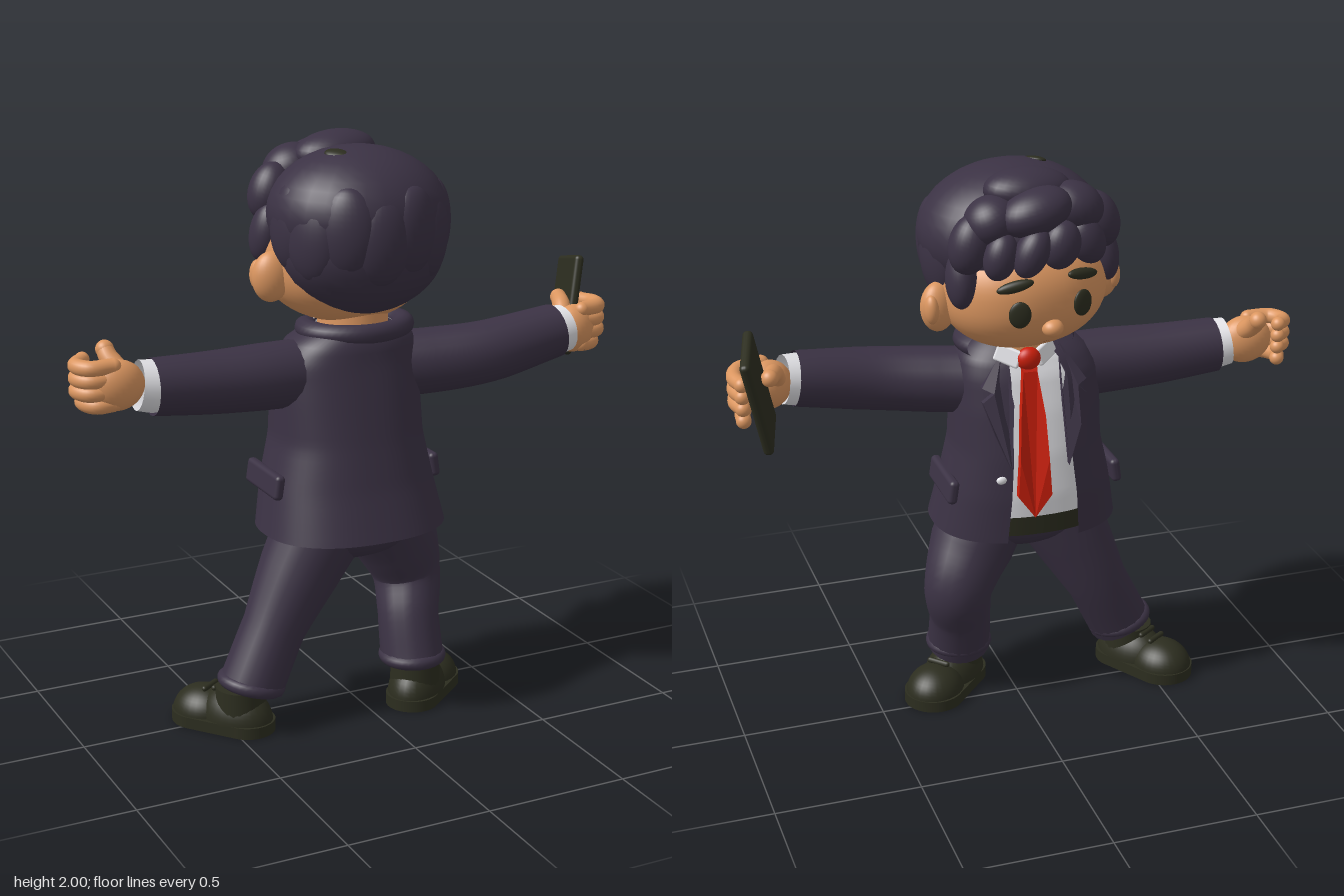
import * as THREE from 'three';
import { RoundedBoxGeometry } from 'three/addons/geometries/RoundedBoxGeometry.js';

const V = (a) => new THREE.Vector3(...a);
const mat = (name, color, side = THREE.FrontSide) => {
  const m = new THREE.MeshStandardMaterial({ color, side });
  m.name = name;
  return m;
};

export function createModel() {
  const suit = mat('suit and hair', 0x3b3244, THREE.DoubleSide);
  const dark = mat('dark leather', 0x2c2d1f);
  const skin = mat('skin', 0xdb9660);
  const white = mat('shirt white', 0xe4e4e8, THREE.DoubleSide);
  const red = mat('tie red', 0xcc1f0b, THREE.DoubleSide);
  const brown = mat('mouth brown', 0x95603f);

  const root = new THREE.Group();
  root.name = 'figure';
  const add = (name, geo, m, pos = [0, 0, 0], rot = [0, 0, 0], parent = root) => {
    const mesh = new THREE.Mesh(geo, m);
    mesh.name = name;
    mesh.position.set(...pos);
    mesh.rotation.set(...rot);
    parent.add(mesh);
    return mesh;
  };
  const blob = (name, m, pos, size, rot, parent) =>
    add(name, new THREE.SphereGeometry(1, 28, 20).scale(...size), m, pos, rot, parent);

  // Tapered tube along a smooth path
  const limb = (name, m, pts, radii, parent) => {
    const curve = new THREE.CatmullRomCurve3(pts.map(V));
    const n = 24, sides = 20;
    const geo = new THREE.TubeGeometry(curve, n, 1, sides);
    const p = geo.attributes.position, v = new THREE.Vector3();
    for (let i = 0; i < p.count; i++) {
      const t = Math.floor(i / (sides + 1)) / n, f = t * (radii.length - 1);
      const k = Math.min(Math.floor(f), radii.length - 2);
      const c = curve.getPointAt(t);
      v.fromBufferAttribute(p, i).sub(c)
        .multiplyScalar(THREE.MathUtils.lerp(radii[k], radii[k + 1], f - k)).add(c);
      p.setXYZ(i, v.x, v.y, v.z);
    }
    return add(name, geo, m, undefined, undefined, parent);
  };

  // Torso sections: y, centre x, centre z, radius x, radius z
  const levels = [
    [0.69, -0.04, 0.08, 0.325, 0.265], [0.85, -0.04, 0.05, 0.295, 0.245], [1.0, -0.035, 0.035, 0.262, 0.225],
    [1.15, -0.035, 0.03, 0.258, 0.2], [1.27, -0.035, 0.03, 0.25, 0.175], [1.34, -0.02, 0.04, 0.215, 0.155],
    [1.38, -0.01, 0.05, 0.15, 0.12]];
  const section = (y) => {
    let k = 0;
    while (k < levels.length - 2 && y > levels[k + 1][0]) k++;
    const t = THREE.MathUtils.clamp((y - levels[k][0]) / (levels[k + 1][0] - levels[k][0]), 0, 1);
    return levels[k].map((a, i) => a + (levels[k + 1][i] - a) * t);
  };
  const power = (s) => Math.sign(s) * Math.abs(s) ** 0.85;
  const frontZ = (x, y) => {
    const [, cx, cz, rx, rz] = section(y);
    return cz - rz * Math.max(0, 1 - Math.abs((x - cx) / rx) ** 2.35) ** (1 / 2.35);
  };
  const shell = (name, m, y0, y1, gap, inset) => {
    const pos = [], idx = [], rows = 28, cols = 56;
    for (let r = 0; r <= rows; r++) {
      const y = y0 + (y1 - y0) * r / rows, [, cx, cz, rx, rz] = section(y);
      for (let c = 0; c <= cols; c++) {
        const a = gap + (2 * Math.PI - 2 * gap) * c / cols;
        pos.push(cx + (rx - inset) * power(Math.sin(a)), y, cz - (rz - inset) * power(Math.cos(a)));
        if (r < rows && c < cols) {
          const i = r * (cols + 1) + c, j = i + cols + 1;
          idx.push(i, j, i + 1, j, j + 1, i + 1);
        }
      }
    }
    const g = new THREE.BufferGeometry();
    g.setAttribute('position', new THREE.Float32BufferAttribute(pos, 3));
    g.setIndex(idx);
    g.computeVertexNormals();
    return add(name, g, m);
  };
  // Flat outline laid over the chest
  const chestPlate = (name, m, pts, lift, depth) => {
    const g = new THREE.ExtrudeGeometry(new THREE.Shape(pts.map((q) => new THREE.Vector2(...q))),
      { depth, bevelEnabled: false });
    const p = g.attributes.position;
    for (let i = 0; i < p.count; i++) p.setZ(i, p.getZ(i) + frontZ(p.getX(i), p.getY(i)) - lift);
    g.computeVertexNormals();
    return add(name, g, m);
  };

  // Jacket, shirt, belt and tie
  shell('jacket', suit, 0.69, 1.38, 0.34, 0);
  shell('shirt', white, 0.76, 1.38, 0, 0.02);
  shell('belt', dark, 0.71, 0.78, 0, 0.014).material.side = THREE.DoubleSide;
  const half = [[0.03, 1.35], [0.024, 1.3], [0.042, 1.15], [0.05, 1.0], [0.058, 0.87]];
  chestPlate('tie', red, [...half, [0, 0.79], ...half.map(([x, y]) => [-x, y]).reverse()], 0.015, 0.025);
  blob('tieKnot', red, [0, 1.34, -0.125], [0.042, 0.04, 0.03]);
  for (const s of [1, -1]) {
    chestPlate('lapel', suit, [[0.1, 1.37], [0.18, 1.25], [0.145, 1.235], [0.18, 1.2], [0.15, 1.1], [0.1, 0.97], [0.085, 1.2]]
      .map(([x, y]) => [s * x - 0.02, y]), 0.022, 0.02);
    add('shirtCollar', new RoundedBoxGeometry(0.09, 0.06, 0.02, 2, 0.008), white,
      [s * 0.065, 1.35, -0.105], [0.3, s * -0.5, s * 0.45]);
    add('pocketFlap', new RoundedBoxGeometry(0.035, 0.085, 0.25, 3, 0.015), suit,
      [-0.04 + s * 0.293, 0.865, 0.03], [0, 0, s * 0.15]);
  }
  blob('jacketButton', white, [0.11, 0.93, frontZ(0.11, 0.93) - 0.005], [0.018, 0.014, 0.01]);
  const collar = new THREE.TorusGeometry(0.155, 0.035, 12, 32, Math.PI * 1.3);
  collar.rotateZ(-Math.PI * 0.15).rotateX(Math.PI / 2).scale(1.1, 1, 0.9);
  add('jacketCollar', collar, suit, [0, 1.365, 0.035]);
  add('neck', new THREE.CylinderGeometry(0.115, 0.125, 0.16, 28), skin, [0, 1.38, 0.02]);

  // Trousers
  blob('hips', suit, [-0.04, 0.7, 0.09], [0.27, 0.13, 0.18]);
  limb('bentLeg', suit, [[0.07, 0.72, 0.09], [0.15, 0.58, 0.06], [0.205, 0.44, 0.035], [0.185, 0.3, 0.09], [0.178, 0.16, 0.135]],
    [0.15, 0.15, 0.122, 0.108, 0.112]);
  limb('straightLeg', suit, [[-0.14, 0.73, 0.1], [-0.24, 0.54, 0.09], [-0.33, 0.36, 0.09], [-0.43, 0.16, 0.11]],
    [0.16, 0.14, 0.11, 0.112]);
  for (const [x, z, tilt] of [[0.178, 0.135, 0], [-0.43, 0.11, -0.25]])
    add('trouserHem', new THREE.TorusGeometry(0.095, 0.024, 12, 32).rotateX(Math.PI / 2), suit, [x, 0.17, z], [0, 0, tilt]);

  // Shoes, toes toward local -z
  for (const [x, z, turn] of [[0.235, 0.1, -0.82], [-0.5, 0.03, 0.6]]) {
    const shoe = new THREE.Group();
    shoe.name = 'shoe';
    shoe.position.set(x, 0, z);
    shoe.rotation.y = turn;
    root.add(shoe);
    const dome = (name, pos, size) => add(name,
      new THREE.SphereGeometry(1, 28, 12, 0, Math.PI * 2, 0, Math.PI / 2).scale(...size), dark, pos, undefined, shoe);
    const outline = new THREE.Shape();
    outline.absarc(0, 0.09, 0.105, 0, Math.PI);
    outline.absarc(0, -0.1, 0.092, Math.PI, Math.PI * 2);
    const sole = new THREE.ExtrudeGeometry(outline, { depth: 0.04, bevelEnabled: false, curveSegments: 20 });
    add('sole', sole.rotateX(-Math.PI / 2), dark, undefined, undefined, shoe);
    dome('toeCap', [0, 0.035, -0.08], [0.1, 0.09, 0.112]);
    dome('upper', [0, 0.035, 0.05], [0.097, 0.115, 0.137]);
    add('ankleCuff', new THREE.CylinderGeometry(0.085, 0.09, 0.11, 24), dark, [0, 0.1, 0.07], undefined, shoe);
    for (const k of [0, 1])
      add('lace', new THREE.CapsuleGeometry(0.01, 0.07, 4, 10).rotateZ(Math.PI / 2), dark,
        [0, 0.128 + k * 0.012, -0.055 + k * 0.04], undefined, shoe);
  }

  // Arms, shirt cuffs and hands
  limb('openArm', suit, [[-0.16, 1.225, 0.04], [-0.32, 1.228, 0.045], [-0.52, 1.23, 0.04], [-0.735, 1.24, 0.035]], [0.115, 0.112, 0.104, 0.095]);
  limb('phoneArm', suit, [[0.1, 1.215, 0.04], [0.26, 1.22, 0.08], [0.46, 1.235, 0.115], [0.745, 1.275, 0.105]], [0.115, 0.112, 0.106, 0.094]);
  limb('shirtCuff', white, [[-0.68, 1.238, 0.036], [-0.73, 1.243, 0.034], [-0.78, 1.25, 0.03]], [0.08, 0.088, 0.083]);
  limb('shirtCuff', white, [[0.69, 1.265, 0.11], [0.74, 1.272, 0.105], [0.785, 1.278, 0.1]], [0.08, 0.088, 0.083]);
  blob('palm', skin, [-0.845, 1.255, 0.015], [0.095, 0.085, 0.062], [0, 0, 0]);
  blob('palm', skin, [0.835, 1.27, 0.09], [0.085, 0.085, 0.062], [0, 0.3, 0]);
  const finger = (name, pts, r) => {
    limb(name, skin, pts, [r, r * 1.05, r * 0.9]);
    for (const q of [pts[0], pts[pts.length - 1]]) blob(name + 'Tip', skin, q, [r * 0.95, r * 0.95, r * 0.95]);
  };
  for (let i = 0; i < 4; i++) {
    const y = 1.2 + i * 0.042, e = i === 0 ? 0.02 : 0;
    finger('openFinger', [[-0.86, y, 0.035], [-0.94 + e, y - 0.002, 0.03], [-0.968 + e, y, -0.025], [-0.93, y + 0.005, -0.07]], 0.026);
    finger('grippingFinger', [[0.85, y + 0.015, 0.115], [0.93 - e, y + 0.012, 0.085], [0.957 - e, y + 0.01, 0.02], [0.945, y + 0.008, -0.04]], 0.027);
  }
  finger('openThumb', [[-0.82, 1.29, -0.005], [-0.845, 1.33, -0.05], [-0.85, 1.355, -0.075]], 0.032);
  finger('grippingThumb', [[0.81, 1.3, 0.06], [0.83, 1.34, 0.01], [0.855, 1.35, -0.05]], 0.03);

  // Phone
  const phone = new THREE.Group();
  phone.name = 'phone';
  const up = V([0.08, 0.35, -0.06]).normalize(), out = V([0.06, -0.04, -0.22]).cross(up).normalize();
  phone.quaternion.setFromRotationMatrix(new THREE.Matrix4().makeBasis(up.clone().cross(out), up, out));
  phone.position.set(0.898, 1.312, -0.07);
  root.add(phone);
  add('phoneBody', new RoundedBoxGeometry(0.22, 0.355, 0.034, 4, 0.015), dark, undefined, undefined, phone);
  add('phoneLens', new THREE.CapsuleGeometry(0.011, 0.015, 4, 12).scale(1, 1, 0.4), brown, [0.005, 0.125, 0.016], undefined, phone);

  // Head, turned slightly
  const head = new THREE.Group(), inner = new THREE.Group();
  head.name = 'head';
  inner.name = 'headParts';
  head.position.y = 1.6;
  inner.position.y = -1.6;
  head.rotation.set(0, 0.12, -0.04);
  head.add(inner);
  root.add(head);
  const faceGeo = new THREE.SphereGeometry(1, 48, 32), fp = faceGeo.attributes.position;
  const soft = (s) => Math.sign(s) * Math.abs(s) ** 0.9;
  for (let i = 0; i < fp.count; i++)
    fp.setXYZ(i, soft(fp.getX(i)) * 0.285, soft(fp.getY(i)) * 0.205, soft(fp.getZ(i)) * 0.245);
  faceGeo.computeVertexNormals();
  add('face', faceGeo, skin, [0, 1.58, -0.03], undefined, inner);
  const faceZ = (x, y) => -0.03 - 0.245 *
    Math.max(0, 1 - Math.abs(x / 0.285) ** 2.22 - Math.abs((y - 1.58) / 0.205) ** 2.22) ** 0.45;
  blob('nose', skin, [0, 1.495, -0.265], [0.036, 0.03, 0.035], undefined, inner);
  const smile = new THREE.TorusGeometry(0.045, 0.005, 8, 20, Math.PI * 0.6).rotateZ(Math.PI * 1.2);
  add('mouth', smile, brown, [0, 1.475, faceZ(0, 1.435) - 0.003], [-0.3, 0, 0], inner);
  for (const s of [1, -1]) {
    blob('eye', dark, [s * 0.112, 1.56, faceZ(0.112, 1.56) - 0.002], [0.037, 0.045, 0.012], [0, s * -0.25, 0], inner);
    blob('eyebrow', dark, [s * 0.12, 1.655, faceZ(0.12, 1.655) - 0.006], [0.062, 0.019, 0.016], [0.3, s * -0.3, s * -0.1], inner);
    blob('ear', skin, [s * 0.295, 1.545, -0.02], [0.065, 0.085, 0.05], [0, s * 0.3, 0], inner);
    blob('earHollow', skin, [s * 0.33, 1.55, -0.05], [0.025, 0.05, 0.03], undefined, inner);
    blob('sideburn', suit, [s * 0.255, 1.67, -0.13], [0.05, 0.1, 0.06], [0.15, 0, s * 0.1], inner);
  }

  // Hair: crown, nape, overlapping locks and a curly fringe
  blob('hairCrown', suit, [0, 1.752, 0.04], [0.315, 0.222, 0.28], undefined, inner);
  blob('hairNape', suit, [0, 1.645, 0.075], [0.295, 0.228, 0.235], undefined, inner);
  for (let i = 0; i < 8; i++) {
    const a = (i - 3.5) * 0.46;
    blob('backLock', suit, [Math.sin(a) * 0.25, 1.72 - (i % 2) * 0.025, 0.045 + Math.cos(a) * 0.225],
      [0.105, 0.15, 0.065], [0, a, 0], inner);
  }
  const fringe = [
    [0.01, 1.93, -0.13, 0.15, 0.07, 0.1, 0.1], [0.03, 1.885, -0.23, 0.125, 0.075, 0.09, -0.2],
    [-0.12, 1.87, -0.2, 0.1, 0.08, 0.09, 0.4], [0.16, 1.86, -0.17, 0.09, 0.08, 0.09, -0.4],
    [-0.22, 1.8, -0.17, 0.07, 0.1, 0.07, -0.3], [0.23, 1.79, -0.16, 0.07, 0.1, 0.07, 0.3],
    [-0.14, 1.765, -0.245, 0.06, 0.085, 0.055, -0.4], [-0.03, 1.78, -0.285, 0.065, 0.08, 0.055, 0.3],
    [0.07, 1.77, -0.28, 0.055, 0.085, 0.055, 0.5], [0.16, 1.76, -0.235, 0.055, 0.08, 0.055, 0.3]];
  for (const [x, y, z, rx, ry, rz, roll] of fringe)
    blob('fringeLock', suit, [x, y, z], [rx, ry, rz], [0, 0, roll], inner);
  blob('hairParting', dark, [-0.11, 1.952, 0.07], [0.028, 0.012, 0.045], [0.1, 0.5, 0.3], inner);

  return root;
}
